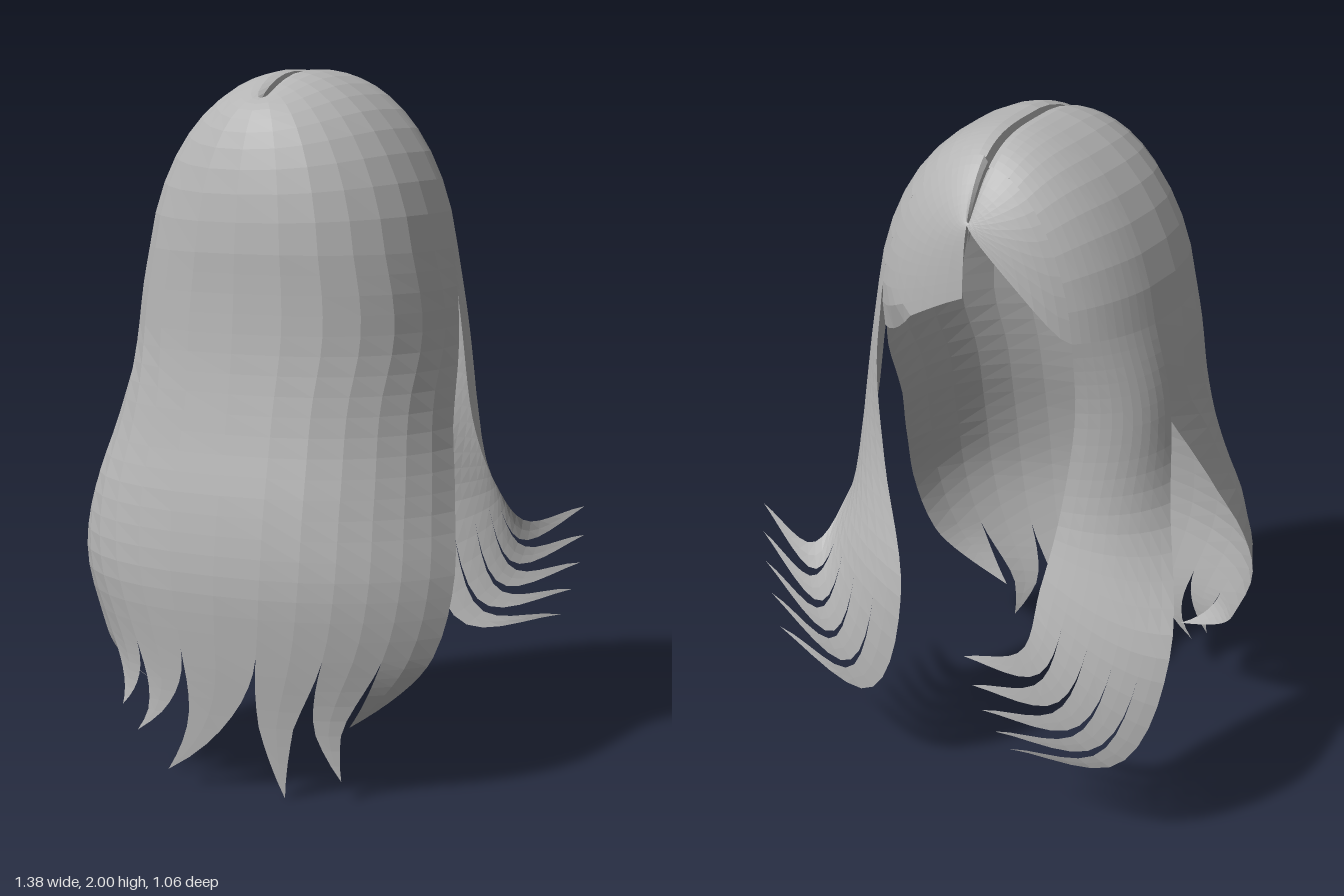
import * as THREE from 'three';
import { mergeGeometries } from 'three/addons/utils/BufferGeometryUtils.js';

const lerp = THREE.MathUtils.lerp;
const rad = THREE.MathUtils.degToRad;
const clamp01 = (v) => Math.min(1, Math.max(0, v));
const CX = -0.06;     // the parting sits slightly off centre
const BROW = 1.5;     // height where the cap ends and the hair hangs
const SHARE = 0.3;    // share of every strand that lies on the cap
const ARC = rad(79);  // sweep of the cap from the parting to the brow line

// Smooth curve through rows of [y, ...values], lowest first
const table = (rows) => new THREE.CubicInterpolant(
  rows.map((r) => r[0]), rows.flatMap((r) => r.slice(1)), rows[0].length - 1);

// y, reach to -x, reach to +x, reach to +z, reach to -z
const SECTIONS = table([
  [0.0, 0.44, 0.45, 0.49, 0.36], [0.2, 0.5, 0.55, 0.505, 0.36],
  [0.4, 0.57, 0.63, 0.522, 0.36], [0.6, 0.63, 0.625, 0.53, 0.36],
  [0.8, 0.605, 0.56, 0.505, 0.36], [1.0, 0.53, 0.5, 0.46, 0.36],
  [1.2, 0.475, 0.47, 0.425, 0.36], [1.4, 0.447, 0.455, 0.407, 0.38],
  [1.5, 0.425, 0.44, 0.403, 0.42],
]);
// y, angle (degrees) of the side edge of the back curtain
const EDGE = table([[0.2, 41], [0.4, 30], [0.65, 19], [0.9, 7], [1.1, -2], [1.27, -14], [1.5, -11]]);

// Point on the hanging hair shell; angle 0 is +x, 90 is +z
function shell(deg, y) {
  const c = Math.cos(rad(deg)), s = Math.sin(rad(deg));
  const soft = (v) => Math.sign(v) * Math.abs(v) ** 0.85;
  const [left, right, far, near] = SECTIONS.evaluate(y);
  return new THREE.Vector3(
    CX + soft(c) * (c < 0 ? left : right), y,
    soft(s) * (s > 0 ? far : near));
}

// Arc from the parting (k = 0) to the brow line (k = 1)
function cap(deg, k) {
  const s = Math.sin(rad(deg));
  const z0 = s * (s > 0 ? 0.23 : 0.38);
  const ridge = z0 > 0 ? 2.005 - 1.5 * z0 * z0 : 2.005 - 9.6 * z0 ** 4;
  const phi = k * ARC, e = shell(deg, BROW);
  const out = Math.sin(phi) / Math.sin(ARC);
  const up = (Math.cos(phi) - Math.cos(ARC)) / (1 - Math.cos(ARC));
  const groove = 0.06 * Math.exp(-k * 90);
  return new THREE.Vector3(lerp(CX, e.x, out), lerp(BROW, ridge, up) - groove, lerp(z0, e.z, out));
}

// Closer rows beside the parting keep its groove narrow
const fromParting = (t) => t ** 1.5;

// Grid of faces from a rule fn(u, v), u across the strand and v down it
function strip(fn, cols, rows) {
  const pos = [], index = [];
  for (let r = 0; r <= rows; r++)
    for (let c = 0; c <= cols; c++) pos.push(...fn(c / cols, r / rows).toArray());
  for (let r = 0; r < rows; r++)
    for (let c = 0; c < cols; c++) {
      const a = r * (cols + 1) + c, b = a + cols + 1;
      index.push(a, a + 1, b, a + 1, b + 1, b);
    }
  const g = new THREE.BufferGeometry();
  g.setAttribute('position', new THREE.Float32BufferAttribute(pos, 3));
  g.setIndex(index);
  const flat = g.toNonIndexed();
  flat.computeVertexNormals();
  return flat;
}

// Strands side by side; fn(s, v, strand), narrowing to points after v = taper
function strands(count, fn, { cols = 2, rows = 40, taper = 1 } = {}) {
  const parts = [];
  for (let i = 0; i < count; i++) {
    parts.push(strip((u, v) => {
      const q = taper < 1 ? clamp01((v - taper) / (1 - taper)) : 0;
      const s = (i + 0.5 + (u - 0.5) * (1 - q ** 1.8)) / count;
      return fn(s, v, i);
    }, cols, rows));
  }
  return mergeGeometries(parts);
}

// Long back curtain with swept tips
function backCurtain() {
  const tipY = [0.2, 0.06, 0, 0.04, 0.14, 0.2, 0.26];
  const sweep = [-0.04, 0.1, 0.06, -0.17, -0.13, -0.08, 0.1];
  return strands(7, (s, v, i) => {
    const at = (y) => {
      const e = EDGE.evaluate(y)[0];
      return lerp(e, 180 - e, s);
    };
    if (v <= SHARE) return cap(at(BROW), fromParting(v / SHARE));
    const q = clamp01((v - 0.8) / 0.2);
    const y = q > 0 ? lerp(0.4, tipY[i], q) : lerp(BROW, 0.4, (v - SHARE) / (0.8 - SHARE));
    const p = shell(at(y), y);
    p.x += sweep[i] * q ** 2.5;
    return p;
  }, { taper: 0.8 });
}

// Front lock: three guide curves blended across the lock
function frontLock(fromDeg, toDeg, guides) {
  const curves = guides.map((pts, i) => new THREE.CatmullRomCurve3(
    [shell(lerp(fromDeg, toDeg, i / 2), BROW), ...pts.map((p) => new THREE.Vector3(...p))],
    false, 'catmullrom', 0.5));
  return strands(5, (s, v) => {
    const t = (v - SHARE) / (1 - SHARE);
    if (t <= 0) return cap(lerp(fromDeg, toDeg, s), fromParting(v / SHARE));
    const w = [2 * (s - 0.5) * (s - 1), 4 * s * (1 - s), 2 * s * (s - 0.5)];
    const p = new THREE.Vector3();
    curves.forEach((c, i) => p.addScaledVector(c.getPoint(t), w[i]));
    return p;
  }, { taper: 0.76 });
}

// Rounded fringe on the +x side of the parting, tucked in below the brow line
function fringe() {
  return strands(3, (s, v) => {
    const deg = lerp(-90, -45, s);
    const k = fromParting(v) * lerp(0.8, 1.11, Math.sin(s * Math.PI / 2));
    return k <= 1 ? cap(deg, k) : shell(deg, BROW - (k - 1));
  }, { cols: 3, rows: 20 });
}

// Swept-aside hair on the -x side, cut diagonally along the face opening
function sideSweep() {
  return strands(3, (s, v) => cap(lerp(230, 270, s), fromParting(v) * (1 - 0.85 * s ** 1.6)),
    { cols: 3, rows: 16 });
}

export function createModel() {
  const hair = new THREE.MeshStandardMaterial({ color: 0xb4b4b4, side: THREE.DoubleSide, flatShading: true });
  hair.name = 'hairGrey';
  const group = new THREE.Group();
  group.name = 'longHair';
  const add = (name, geometry) => {
    const mesh = new THREE.Mesh(geometry, hair);
    mesh.name = name;
    group.add(mesh);
  };

  add('backCurtain', backCurtain());
  add('leftFrontLock', frontLock(-45, -11, [
    [[0.28, 1.27, -0.33], [0.23, 1.0, -0.375], [0.11, 0.67, -0.49], [0.22, 0.31, -0.495], [0.56, 0.34, -0.45]],
    [[0.375, 1.27, -0.22], [0.37, 1.0, -0.29], [0.33, 0.74, -0.41], [0.4, 0.48, -0.46], [0.67, 0.56, -0.38]],
    [[0.405, 1.27, -0.1], [0.42, 1.0, -0.15], [0.44, 0.8, -0.27], [0.5, 0.68, -0.37], [0.69, 0.78, -0.34]],
  ]));
  add('rightFrontLock', frontLock(191, 230, [
    [[-0.53, 1.27, -0.1], [-0.58, 1.0, -0.18], [-0.69, 0.66, -0.37], [-0.59, 0.31, -0.45], [-0.28, 0.26, -0.5]],
    [[-0.49, 1.27, -0.24], [-0.49, 1.0, -0.31], [-0.52, 0.7, -0.43], [-0.44, 0.44, -0.5], [-0.18, 0.4, -0.53]],
    [[-0.36, 1.27, -0.33], [-0.34, 1.0, -0.37], [-0.32, 0.8, -0.44], [-0.29, 0.63, -0.5], [-0.09, 0.58, -0.49]],
  ]));
  add('fringe', fringe());
  add('sideSweep', sideSweep());
  return group;
}
